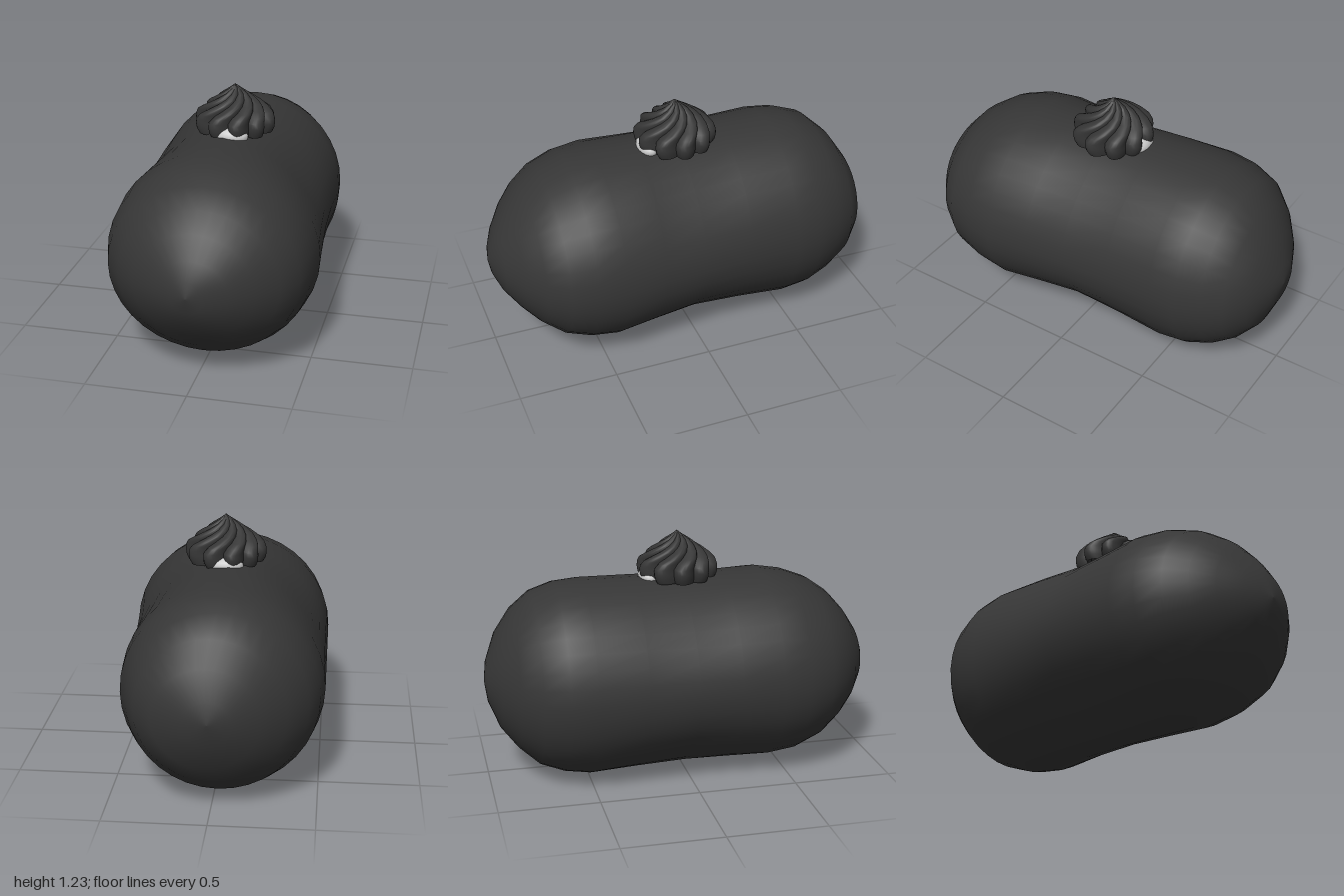
import * as THREE from 'three';
import { toCreasedNormals } from 'three/addons/utils/BufferGeometryUtils.js';

// Closed-ring surface: point(row, t) with t running 0..1 around each ring
function loft(rows, sides, point) {
  const positions = [], index = [];
  for (let i = 0; i < rows; i++) {
    for (let j = 0; j < sides; j++) positions.push(...point(i, j / sides));
  }
  for (let i = 0; i < rows - 1; i++) {
    for (let j = 0; j < sides; j++) {
      const k = (j + 1) % sides;
      const a = i * sides + j, b = i * sides + k, c = a + sides, d = b + sides;
      index.push(a, b, c, b, d, c);
    }
  }
  const geometry = new THREE.BufferGeometry();
  geometry.setAttribute('position', new THREE.Float32BufferAttribute(positions, 3));
  geometry.setIndex(index);
  geometry.computeVertexNormals();
  return geometry;
}

function createBody() {
  // z, min x, max x, min y, max y
  const sections = [
    [-1, 0, 0, 0.5, 0.5],
    [-0.985, -0.11, 0.12, 0.39, 0.6],
    [-0.93, -0.24, 0.27, 0.25, 0.74],
    [-0.85, -0.36, 0.36, 0.15, 0.86],
    [-0.75, -0.455, 0.41, 0.065, 0.95],
    [-0.63, -0.505, 0.455, 0.02, 0.99],
    [-0.5, -0.525, 0.467, 0, 1.003],
    [-0.25, -0.525, 0.467, 0.01, 1.003],
    [0, -0.525, 0.48, 0.012, 1],
    [0.22, -0.525, 0.5, 0.012, 1],
    [0.43, -0.525, 0.522, 0.01, 1.003],
    [0.57, -0.508, 0.505, 0.03, 0.98],
    [0.7, -0.465, 0.475, 0.085, 0.93],
    [0.8, -0.385, 0.4, 0.165, 0.86],
    [0.88, -0.29, 0.3, 0.25, 0.77],
    [0.95, -0.17, 0.19, 0.345, 0.665],
    [0.985, -0.08, 0.08, 0.42, 0.58],
    [1, 0, 0, 0.5, 0.5],
  ];
  return loft(sections.length, 36, (i, t) => {
    const [z, left, right, bottom, top] = sections[i];
    const angle = t * Math.PI * 2, c = Math.cos(angle), s = Math.sin(angle);
    // Slight diagonal waist at mid length
    const waist = 1 - 0.06 * Math.exp(-((z / 0.28) ** 2)) * Math.sin(2 * angle) ** 2;
    const cx = (left + right) / 2, cy = 0.5;
    const rx = (right - left) / 2, ry = s > 0 ? top - cy : cy - bottom;
    return [cx + rx * c * waist, cy + ry * s * waist, z];
  });
}

function createSwirl() {
  // radius, height
  const profile = [
    [0.19, 0.985], [0.203, 1.01], [0.207, 1.035], [0.205, 1.06], [0.193, 1.085],
    [0.168, 1.107], [0.135, 1.132], [0.1, 1.156], [0.065, 1.18], [0.03, 1.203], [0, 1.225],
  ];
  const lobes = 10;
  const geometry = loft(profile.length, lobes * 10, (i, t) => {
    const [radius, y] = profile[i];
    // Skewed scallops with sharp valleys, twisting towards the tip
    const u = (t * lobes) % 1;
    const r = radius * (0.8 + 0.2 * Math.sin(Math.PI * u ** 0.75));
    const angle = t * Math.PI * 2 + 1.6 * (1 - radius / 0.207) * (i < 4 ? 0.3 : 1);
    return [r * Math.sin(angle), y, r * Math.cos(angle)];
  });
  return toCreasedNormals(geometry, 0.7);
}

export function createModel() {
  const model = new THREE.Group();
  model.name = 'creamToppedBun';
  const dark = new THREE.MeshStandardMaterial({ color: 0x363636, side: THREE.DoubleSide });
  const pale = new THREE.MeshStandardMaterial({ color: 0xcccccc });

  function add(name, geometry, material) {
    const mesh = new THREE.Mesh(geometry, material);
    mesh.name = name;
    model.add(mesh);
    return mesh;
  }

  add('body', createBody(), dark);
  add('swirl', createSwirl(), dark);

  // Pale filling peeking out under the swirl at front and back
  for (const side of [1, -1]) {
    const filling = add(side > 0 ? 'frontFilling' : 'backFilling', new THREE.SphereGeometry(1, 20, 12), pale);
    filling.scale.set(0.085, 0.045, 0.055);
    filling.position.set(0.015 * side, 0.998, 0.15 * side);
  }
  return model;
}
